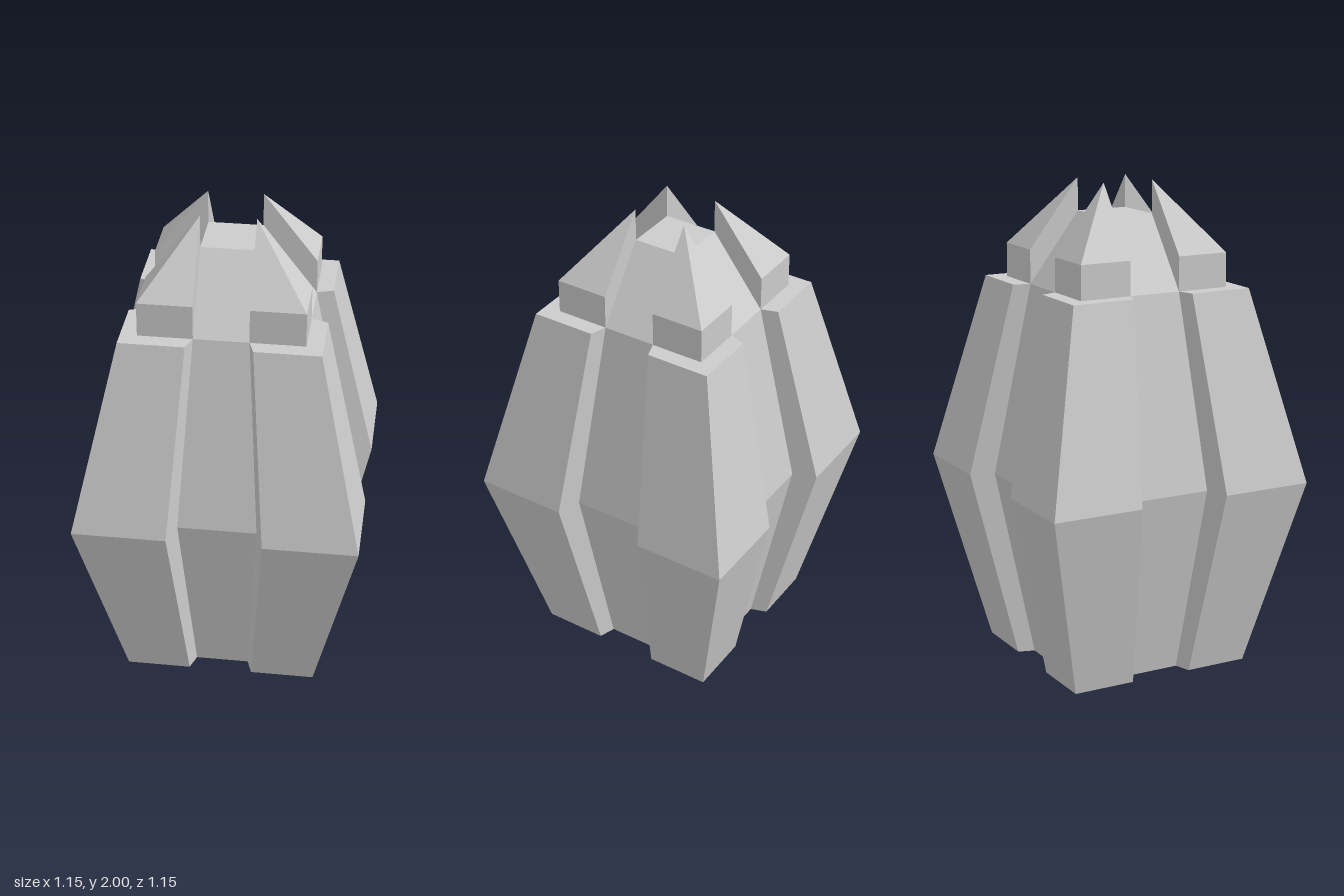
import * as THREE from 'three';

const material = new THREE.MeshStandardMaterial({ color: 0xcccccc, flatShading: true });

// Repeats a quarter outline four times around the y axis, counter-clockwise from above.
function fourfold(quarter) {
  const points = [];
  for (let k = 0; k < 4; k++) {
    for (const [x, y] of quarter) {
      points.push([[x, y], [-y, x], [-x, -y], [y, -x]][k]);
    }
  }
  return points;
}

// Joins outlines of equal point count, each { y, points }, into a faceted solid.
function loft(name, sections, { bottom = false, top = false } = {}) {
  const positions = [];
  const corner = (s, i) => {
    const [x, v] = s.points[i % s.points.length];
    return new THREE.Vector3(x, s.y, -v);
  };
  const triangle = (a, b, c) => {
    const area = b.clone().sub(a).cross(c.clone().sub(a)).length();
    if (area > 1e-7) for (const p of [a, b, c]) positions.push(p.x, p.y, p.z);
  };
  for (let s = 0; s < sections.length - 1; s++) {
    const low = sections[s], high = sections[s + 1];
    for (let i = 0; i < low.points.length; i++) {
      const a = corner(low, i), b = corner(low, i + 1);
      const c = corner(high, i + 1), d = corner(high, i);
      triangle(a, b, c);
      triangle(a, c, d);
    }
  }
  const cap = (s, flip) => {
    const outline = s.points.map(([x, v]) => new THREE.Vector2(x, v));
    for (const [i, j, k] of THREE.ShapeUtils.triangulateShape(outline, [])) {
      if (flip) triangle(corner(s, k), corner(s, j), corner(s, i));
      else triangle(corner(s, i), corner(s, j), corner(s, k));
    }
  };
  if (bottom) cap(sections[0], true);
  if (top) cap(sections[sections.length - 1], false);

  const geometry = new THREE.BufferGeometry();
  geometry.setAttribute('position', new THREE.Float32BufferAttribute(positions, 3));
  geometry.computeVertexNormals();
  const mesh = new THREE.Mesh(geometry, material);
  mesh.name = name;
  return mesh;
}

export function createModel() {
  const model = new THREE.Group();
  model.name = 'segmentedPod';

  const inner = 0.11, outer = 0.328, rim = 0.395;
  const bodyTop = 1.58, bulge = 1.455;

  // Body: square with a groove down each side, widest at mid height
  const outline = (scale) => fourfold([
    [outer, -inner], [outer, inner], [rim, 0.132], [rim, rim], [0.132, rim],
  ]).map(([x, v]) => [x * scale, v * scale]);
  model.add(loft('body', [
    { y: 0, points: outline(1) },
    { y: bodyTop / 2, points: outline(bulge) },
    { y: bodyTop, points: outline(1) },
  ], { bottom: true, top: true }));

  // Crown: cross whose arms slope up to a flat square
  const cross = (reach) => fourfold([[reach, -inner], [reach, inner], [inner, inner]]);
  model.add(loft('crown', [
    { y: bodyTop, points: cross(outer) },
    { y: 1.865, points: cross(inner) },
  ], { top: true }));

  // Corner tips: square blocks, each rising to a point at its inner corner
  const square = (reach) => [[inner, inner], [reach, inner], [reach, reach], [inner, reach]];
  for (let k = 0; k < 4; k++) {
    const tip = loft('cornerTip', [
      { y: bodyTop, points: square(outer) },
      { y: 1.72, points: square(outer) },
      { y: 2, points: square(inner) },
    ]);
    tip.rotation.y = k * Math.PI / 2;
    model.add(tip);
  }
  return model;
}
